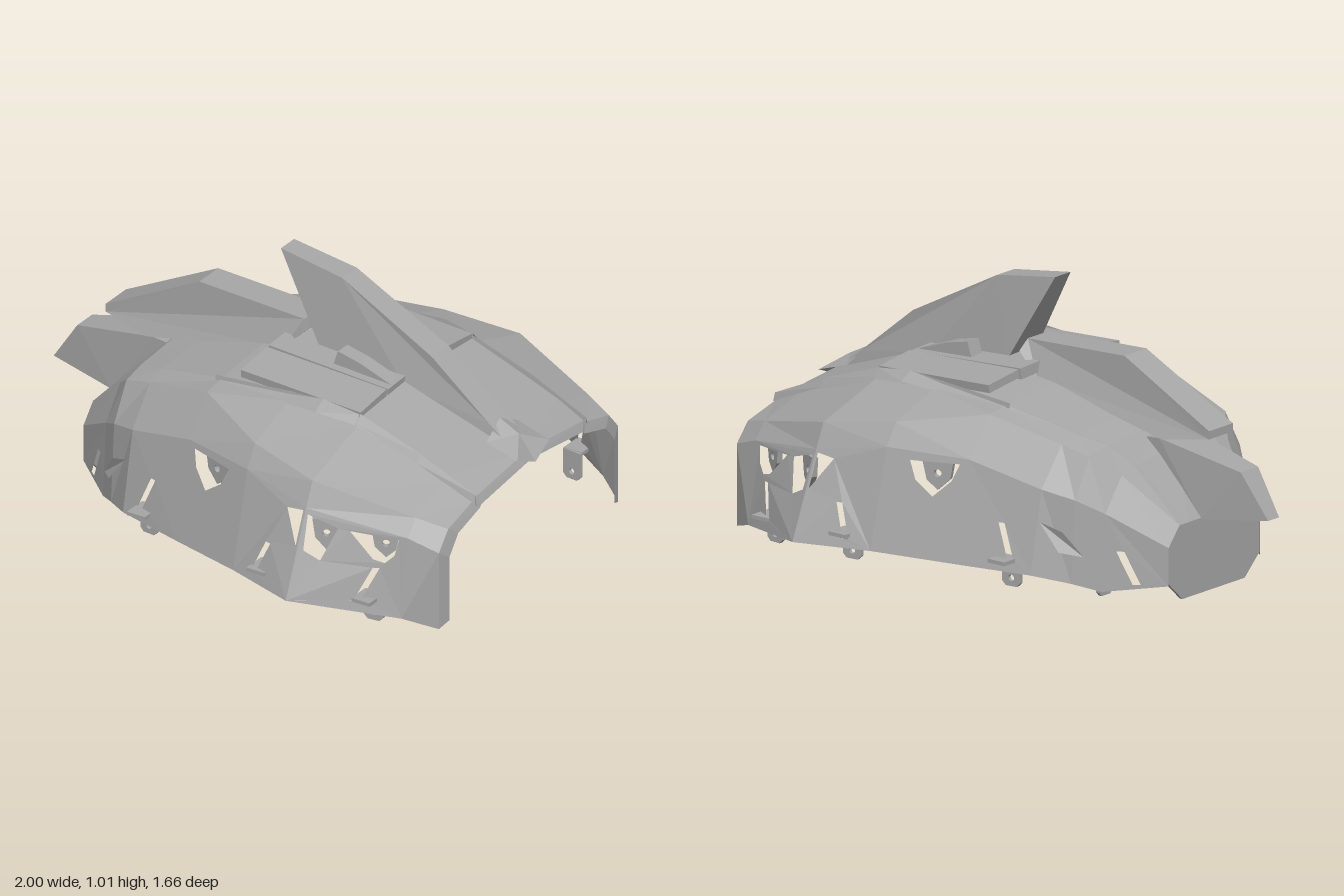
import * as THREE from 'three';

const shellGrey = new THREE.MeshStandardMaterial({ color: 0xa6a6a6, flatShading: true, side: THREE.DoubleSide });
shellGrey.name = 'shellGrey';

// Half cross-sections along x; [z, y] for hem, shoulder, crease, panel edge, panel step, crown
const stations = [
  [-0.73, [0.25, 0.07], [0.25, 0.21], [0.19, 0.28], [0.15, 0.28], [0.14, 0.28], [0, 0.28]],
  [-0.55, [0.40, 0.05], [0.38, 0.33], [0.29, 0.45], [0.22, 0.47], [0.21, 0.47], [0, 0.49]],
  [-0.47, [0.47, 0.08], [0.45, 0.38], [0.37, 0.52], [0.27, 0.54], [0.26, 0.54], [0, 0.56]],
  [-0.36, [0.56, 0.11], [0.50, 0.41], [0.39, 0.55], [0.31, 0.57], [0.30, 0.57], [0, 0.59]],
  [-0.08, [0.65, 0.12], [0.56, 0.48], [0.45, 0.62], [0.37, 0.63], [0.36, 0.635], [0, 0.66]],
  [0.22, [0.74, 0.13], [0.65, 0.49], [0.60, 0.57], [0.39, 0.645], [0.36, 0.665], [0, 0.70]],
  [0.50, [0.83, 0.13], [0.70, 0.44], [0.66, 0.53], [0.38, 0.62], [0.36, 0.645], [0, 0.67]],
  [0.86, [0.64, 0.08], [0.60, 0.38], [0.55, 0.44], [0.36, 0.50], [0.35, 0.515], [0, 0.54]],
  [0.97, [0.57, 0.04], [0.57, 0.34], [0.51, 0.41], [0.36, 0.45], [0.35, 0.46], [0, 0.50]],
];

// Openings in the side wall, in [x, y]
const slot = (x, y) => [[x - 0.035, y - 0.06], [x - 0.013, y - 0.06], [x + 0.035, y + 0.06], [x + 0.013, y + 0.06]];
const openings = [
  slot(-0.62, 0.135), slot(-0.255, 0.22), slot(0.34, 0.22), slot(0.74, 0.2),
  [[-0.05, 0.46], [0.13, 0.455], [0.10, 0.39], [0.03, 0.34], [-0.03, 0.40]],
  [[0.42, 0.42], [0.49, 0.43], [0.49, 0.31]],
  [[0.51, 0.42], [0.62, 0.385], [0.58, 0.27], [0.52, 0.30]],
  [[0.66, 0.38], [0.83, 0.37], [0.82, 0.31], [0.79, 0.28], [0.75, 0.29]],
];

const lerp = THREE.MathUtils.lerp;
const toShape = (pts) => new THREE.Shape(pts.map((p) => new THREE.Vector2(...p)));

function addMesh(parent, name, geometry) {
  const mesh = new THREE.Mesh(geometry, shellGrey);
  mesh.name = name;
  parent.add(mesh);
  return mesh;
}

function facets(points) {
  const g = new THREE.BufferGeometry();
  g.setAttribute('position', new THREE.Float32BufferAttribute(points.flat(), 3));
  g.computeVertexNormals();
  return g;
}

const quad = (a, b, c, d) => [a, b, c, a, c, d];

// One wall bay between two stations, cut by its openings and bent to the section
function wallBay(a, b) {
  const [x0, x1] = [a[0], b[0]];
  const shape = toShape([[x0, a[1][1]], [x1, b[1][1]], [x1, b[2][1]], [x0, a[2][1]]]);
  for (const o of openings) {
    if (o.every(([x]) => x > x0 && x < x1)) shape.holes.push(new THREE.Path(toShape(o).getPoints()));
  }
  const g = new THREE.ShapeGeometry(shape).toNonIndexed();
  const p = g.attributes.position;
  for (let i = 0; i < p.count; i++) {
    const u = (p.getX(i) - x0) / (x1 - x0);
    const yb = lerp(a[1][1], b[1][1], u), yt = lerp(a[2][1], b[2][1], u);
    const v = (p.getY(i) - yb) / (yt - yb);
    p.setZ(i, lerp(lerp(a[1][0], b[1][0], u), lerp(a[2][0], b[2][0], u), v));
  }
  g.computeVertexNormals();
  return g;
}

// Side outline extruded across z, its half width set by a rule
function blade(outline, halfWidth) {
  const g = new THREE.ExtrudeGeometry(toShape(outline), { depth: 2, bevelEnabled: false });
  g.translate(0, 0, -1);
  const p = g.attributes.position;
  for (let i = 0; i < p.count; i++) p.setZ(i, p.getZ(i) * halfWidth(p.getX(i), p.getY(i)));
  g.computeVertexNormals();
  return g;
}

function plate(outline, depth) {
  return new THREE.ExtrudeGeometry(outline, { depth, bevelEnabled: false }).translate(0, 0, -depth / 2);
}

// Mounting tab with a bolt hole
function tabGeometry(height) {
  const s = toShape([[-0.038, height], [-0.038, 0.015], [-0.023, 0], [0.023, 0], [0.038, 0.015], [0.038, height]]);
  s.holes.push(new THREE.Path().absarc(0, 0.03, 0.012, 0, Math.PI * 2, true));
  return plate(s, 0.014);
}

function sideHalf() {
  const half = new THREE.Group();
  half.name = 'shellHalf';
  const roof = [];
  for (let i = 0; i < stations.length - 1; i++) {
    const a = stations[i], b = stations[i + 1];
    addMesh(half, 'sideWall', wallBay(a, b));
    for (let k = 2; k < 6; k++) {
      const at = (s, j) => [s[0], s[j][1], s[j][0]];
      roof.push(...quad(at(a, k), at(b, k), at(b, k + 1), at(a, k + 1)));
    }
  }
  addMesh(half, 'roofPanels', facets(roof));

  // Lip turned inward around the front opening
  const lip = [], end = stations[stations.length - 1];
  for (let k = 1; k < 6; k++) {
    const outer = (j) => [0.97, end[j][1], end[j][0]];
    const inner = (j) => [0.985, end[j][1] - (j > 1 ? 0.03 : -0.02), end[j][0] * 0.92];
    lip.push(...quad(outer(k), inner(k), inner(k + 1), outer(k + 1)));
  }
  addMesh(half, 'frontLip', facets(lip));

  // Raised blades along the panel edges
  const ridge = (name, pts) => {
    const top = pts.map(([x, y, z]) => [x, y, z]), out = pts.map(([x, y, z, w]) => [x, y - 0.03, z + w]);
    const base = pts.map(([x, y, z]) => [x, y - 0.06, z - 0.005]);
    const tris = [];
    for (let i = 0; i < pts.length - 1; i++) {
      tris.push(...quad(out[i], out[i + 1], top[i + 1], top[i]), ...quad(top[i], top[i + 1], base[i + 1], base[i]));
    }
    addMesh(half, name, facets(tris));
  };
  ridge('rearEdgeBlade', [[-0.1, 0.645, 0.365, 0.005], [0.35, 0.68, 0.365, 0.05], [0.5, 0.66, 0.36, 0.03]]);
  ridge('frontEdgeBlade', [[0.5, 0.66, 0.355, 0.025], [0.75, 0.575, 0.355, 0.02], [0.98, 0.475, 0.35, 0.01]]);

  // Layered plates on the crown
  const slab = (name, x0, x1, y0, y1, z0, z1, t, drop) => {
    const m = addMesh(half, name, new THREE.BoxGeometry(Math.hypot(x1 - x0, y1 - y0), t, z1 - z0));
    m.position.set((x0 + x1) / 2, (y0 + y1) / 2 - t / 2, (z0 + z1) / 2);
    m.rotation.set(drop, 0, Math.atan2(y1 - y0, x1 - x0));
  };
  slab('crownPlate', 0, 0.5, 0.70, 0.675, 0.19, 0.355, 0.03, 0.12);
  slab('innerCrownPlate', 0, 0.5, 0.715, 0.685, 0, 0.18, 0.04, 0.05);
  addMesh(half, 'crownVent', blade([[0.25, 0.69], [0.27, 0.75], [0.36, 0.73], [0.5, 0.68]], () => 0.03)).position.z = 0.12;

  // Recessed sockets behind the wall openings
  const socket = (x, y, z, turn, w, h) => {
    const s = toShape([[-w, h], [w, h], [w * 0.7, -h * 0.4], [0, -h], [-w * 0.8, -h * 0.2]]);
    s.holes.push(new THREE.Path().absarc(0, 0.1 * h, 0.014, 0, Math.PI * 2, true));
    const m = addMesh(half, 'socket', plate(s, 0.02));
    m.position.set(x, y, z);
    m.rotation.y = turn;
  };
  socket(0.05, 0.405, 0.57, -0.3, 0.06, 0.055);
  socket(0.56, 0.34, 0.66, 0.5, 0.05, 0.06);
  socket(0.77, 0.335, 0.60, 0.5, 0.05, 0.05);

  // Tabs under the hem
  for (const [x, y, z, turn] of [[-0.26, 0.05, 0.54, -0.1], [0.34, 0.07, 0.69, -0.1], [0.74, 0.04, 0.63, 0.1]]) {
    const m = addMesh(half, 'mountingTab', tabGeometry(0.11));
    m.position.set(x, y, z);
    m.rotation.y = turn;
    const arm = addMesh(half, 'tabArm', new THREE.BoxGeometry(0.076, 0.014, 0.09));
    arm.position.set(x, y + 0.105, z + 0.045);
  }
  const rearTab = addMesh(half, 'rearMountingTab', tabGeometry(0.17));
  rearTab.position.set(-0.48, 0.005, 0.30);
  rearTab.rotation.y = Math.PI / 2;
  addMesh(half, 'rearTabArm', new THREE.BoxGeometry(0.014, 0.06, 0.14)).position.set(-0.48, 0.14, 0.37);

  // Ribs inside the crown
  addMesh(half, 'innerRib', blade([[-0.70, 0.28], [-0.5, 0.5], [-0.1, 0.63], [-0.1, 0.57], [-0.45, 0.43], [-0.66, 0.28]], () => 0.02)).position.z = 0.06;

  // Small raised flutes on the rear flank
  addMesh(half, 'flankFlute', facets([
    [-0.51, 0.18, 0.45], [-0.37, 0.30, 0.525], [-0.45, 0.27, 0.495],
    [-0.51, 0.18, 0.45], [-0.45, 0.20, 0.515], [-0.37, 0.30, 0.525],
  ]));
  return half;
}

export function createModel() {
  const model = new THREE.Group();
  model.name = 'finnedShell';

  const left = sideHalf();
  const right = left.clone();
  right.scale.z = -1;
  model.add(left, right);

  // Eight-sided closing plate at the narrow end
  const back = addMesh(model, 'endPlate', plate(toShape([
    [-0.17, 0.005], [0.17, 0.005], [0.25, 0.08], [0.25, 0.21], [0.19, 0.28], [-0.19, 0.28], [-0.25, 0.21], [-0.25, 0.08],
  ]), 0.012));
  back.rotation.set(0, Math.PI / 2, 0);
  back.position.x = -0.72;

  // Tall swept fin
  addMesh(model, 'tallFin', blade(
    [[-0.04, 1.02], [0.22, 0.98], [0.6, 0.78], [0.84, 0.585], [0.95, 0.5], [0.8, 0.54], [0.5, 0.65], [0.15, 0.69]],
    (x, y) => (x > 0.55 ? 0.052 : lerp(0.078, 0.042, THREE.MathUtils.clamp((y - 0.69) / 0.33, 0, 1))),
  ));

  // Low wedge fin and the tail under it
  addMesh(model, 'lowFin', blade(
    [[-0.76, 0.60], [-0.37, 0.80], [0.07, 0.78], [0.08, 0.74], [0.0, 0.66], [-0.57, 0.54], [-0.76, 0.57]],
    (x, y) => (x < -0.7 ? 0.065 : y > 0.75 ? 0.06 : 0.095),
  ));
  addMesh(model, 'tail', blade(
    [[-1, 0.31], [-0.89, 0.47], [-0.55, 0.54], [-0.45, 0.53], [-0.73, 0.275]],
    (x) => lerp(0.03, 0.085, Math.min((x + 1) / 0.35, 1)),
  ));

  // Peak at the middle of the front edge
  const n = [[0.85, 0.59, 0], [0.86, 0.54, 0.1], [0.99, 0.5, 0.1], [1, 0.46, 0], [0.99, 0.5, -0.1], [0.86, 0.54, -0.1]];
  const mid = [0.93, 0.55, 0];
  addMesh(model, 'frontPeak', facets(n.flatMap((p, i) => [mid, p, n[(i + 1) % 6]])));
  return model;
}
